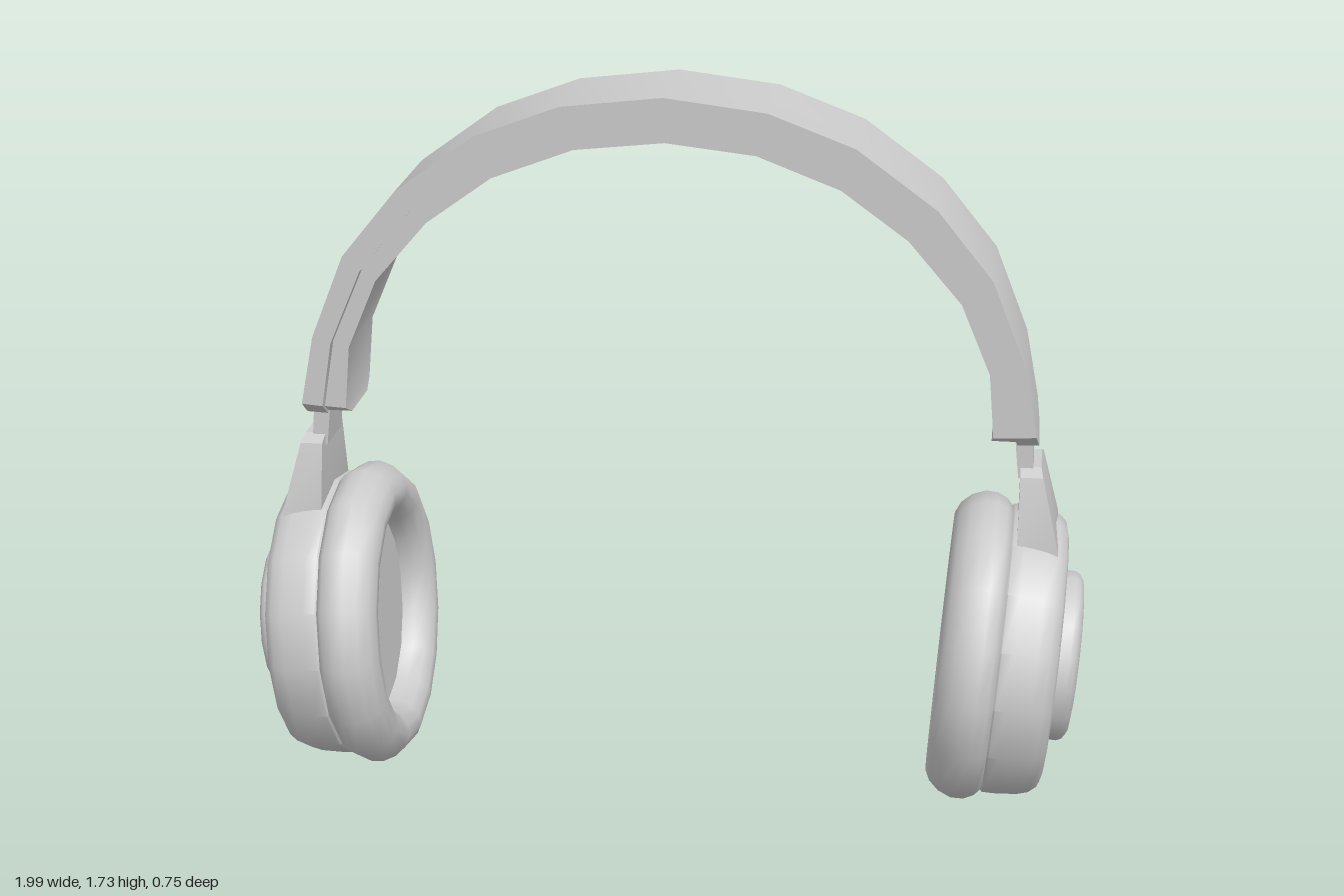
import * as THREE from 'three';
import { toCreasedNormals } from 'three/addons/utils/BufferGeometryUtils.js';

const material = new THREE.MeshStandardMaterial({ color: 0xcccccc });

function part(name, geometry, crease) {
  const mesh = new THREE.Mesh(toCreasedNormals(geometry, crease), material);
  mesh.name = name;
  return mesh;
}

// Skin a list of four-cornered rings and cap both ends
function loft(rings) {
  const pos = [];
  const quad = (a, b, c, d) => [a, b, c, a, c, d].forEach((p) => pos.push(...p));
  for (let i = 0; i + 1 < rings.length; i++) {
    for (let j = 0; j < 4; j++) {
      const k = (j + 1) % 4;
      quad(rings[i][j], rings[i][k], rings[i + 1][k], rings[i + 1][j]);
    }
  }
  quad(...[...rings[0]].reverse());
  quad(...rings[rings.length - 1]);
  const geometry = new THREE.BufferGeometry();
  geometry.setAttribute('position', new THREE.Float32BufferAttribute(pos, 3));
  geometry.computeVertexNormals();
  return geometry;
}

// Arched strip; each station is [outerX, outerY, innerX, innerY, halfWidth] from the end to the crown
function archStrip(stations) {
  const mirrored = stations.slice(0, -1).reverse().map(([a, b, c, d, h]) => [-a, b, -c, d, h]);
  const zc = -0.0075;
  return loft([...stations, ...mirrored].map(([ox, oy, ix, iy, h]) => [
    [ix, iy, zc - h], [ix, iy, zc + h], [ox, oy, zc + h], [ox, oy, zc - h],
  ]));
}

// Upright tapered block; each level is [y, x0, x1, halfDepth]
function taperedBlock(levels) {
  return loft(levels.map(([y, x0, x1, h]) => [[x0, y, h], [x1, y, h], [x1, y, -h], [x0, y, -h]]));
}

// Sixteen-sided turned part along x; each point is [radius, x]
function turned(points) {
  const geometry = new THREE.LatheGeometry(points.map(([r, u]) => new THREE.Vector2(r, u)), 16);
  return geometry.rotateZ(-Math.PI / 2).toNonIndexed();
}

function earSide(name) {
  const side = new THREE.Group();
  side.name = name;

  // Ear cup, tilted slightly about its centre
  const cup = new THREE.Group();
  cup.name = 'earCup';
  cup.position.set(0.725, 0.38, 0);
  cup.rotation.z = -0.072;
  cup.add(part('innerDisc', turned([[0, 0.01], [0.25, 0.01]]), 0.5));
  cup.add(part('earPad', turned([
    [0.245, 0.02], [0.247, -0.02], [0.26, -0.048], [0.285, -0.066], [0.312, -0.068],
    [0.338, -0.056], [0.36, -0.032], [0.373, 0], [0.372, 0.03], [0.36, 0.055], [0.345, 0.068], [0.32, 0.07],
  ]), 0.9));
  cup.add(part('shell', turned([
    [0.335, 0.06], [0.35, 0.072], [0.35, 0.1], [0.345, 0.155], [0.337, 0.182],
    [0.322, 0.2], [0.3, 0.206], [0, 0.206],
  ]), 0.9));
  cup.add(part('outerButton', turned([
    [0.205, 0.19], [0.205, 0.235], [0.199, 0.247], [0.185, 0.256], [0.15, 0.26], [0, 0.264],
  ]), 0.9));
  side.add(cup);

  // Bracket rising from the cup, and the slider into the headband
  side.add(part('bracket', taperedBlock([
    [0.62, 0.84, 0.925, 0.135], [0.685, 0.83, 0.925, 0.135],
    [0.853, 0.83, 0.883, 0.096], [0.868, 0.83, 0.878, 0.06],
  ]), 0.3));
  side.add(part('slider', taperedBlock([[0.84, 0.825, 0.862, 0.065], [0.96, 0.812, 0.852, 0.065]]), 0.3));
  return side;
}

export function createModel() {
  const model = new THREE.Group();
  model.name = 'headphones';

  // Headband shell and the narrower cushion beneath it, both with chamfered ends
  const w = 0.145, c = 0.118;
  model.add(part('headband', archStrip([
    [0.87, 0.924, 0.82, 0.922, 0.075], [0.863, 0.968, 0.813, 0.964, w], [0.83, 1.135, 0.787, 1.12, w],
    [0.75, 1.335, 0.71, 1.3, w], [0.62, 1.495, 0.583, 1.453, w], [0.435, 1.63, 0.412, 1.577, w],
    [0.235, 1.705, 0.22, 1.65, w], [0, 1.733, 0, 1.677, w],
  ]), 0.45));
  model.add(part('headbandCushion', archStrip([
    [0.818, 0.93, 0.76, 0.93, 0.075], [0.816, 0.955, 0.764, 0.952, c], [0.788, 1.12, 0.75, 1.105, c],
    [0.711, 1.3, 0.68, 1.27, c], [0.584, 1.453, 0.555, 1.415, c], [0.412, 1.577, 0.4, 1.527, c],
    [0.22, 1.65, 0.208, 1.6, c], [0, 1.677, 0, 1.623, c],
  ]), 0.45));

  // Matching ear assemblies
  const left = earSide('leftEar');
  const right = earSide('rightEar');
  right.rotation.y = Math.PI;
  model.add(left, right);
  return model;
}
